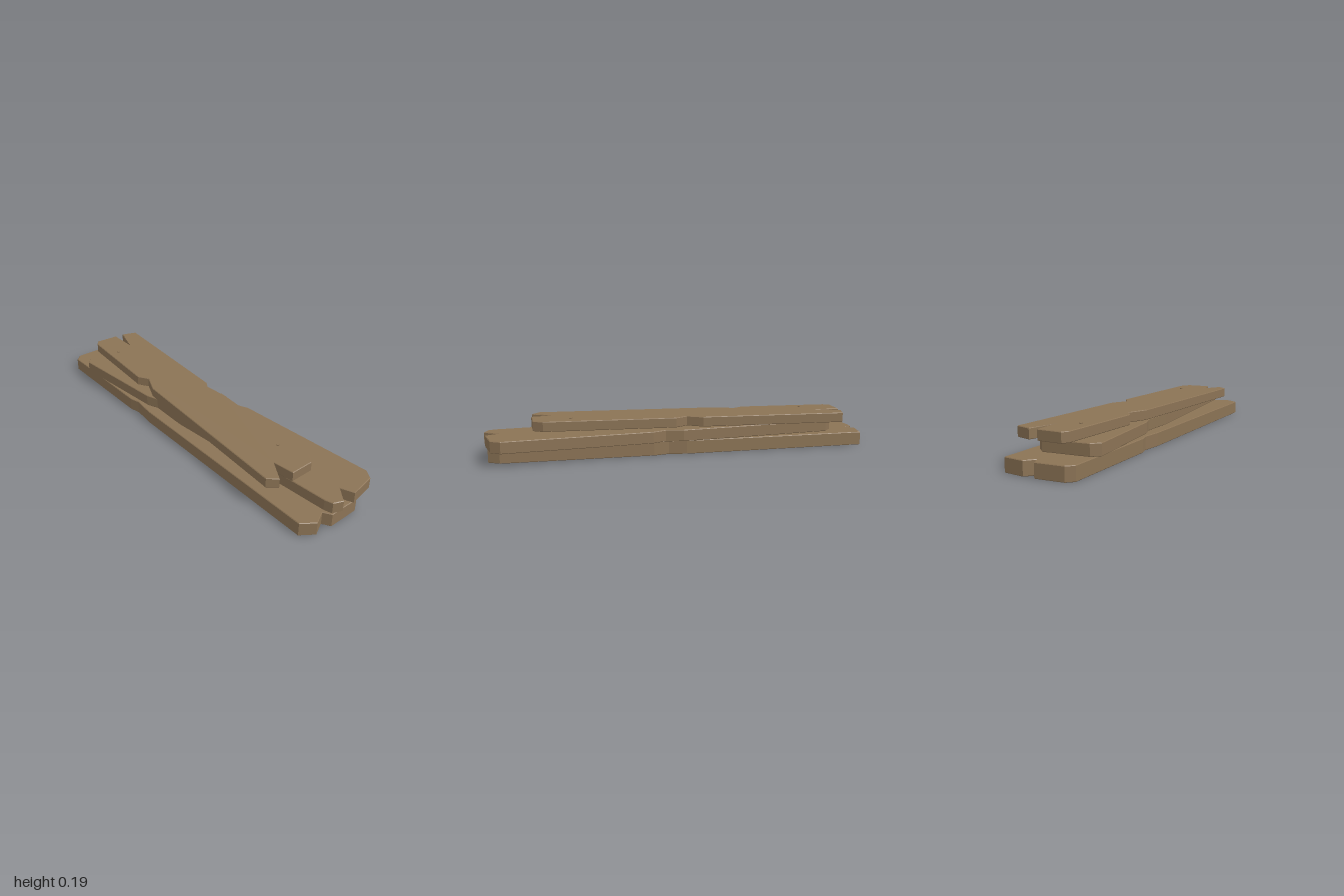
import * as THREE from 'three';

const BEVEL = 0.003;

// Outlines as [x, z] corners, running from the back left corner along the back edge
const bottomOutline = [
  [-0.965, -0.193], [0.0, -0.161], [0.09, -0.142], [0.17, -0.156], [0.93, -0.126], [0.985, -0.09],
  [0.985, 0.072], [0.945, 0.095], [0.978, 0.163], [0.93, 0.228],
  [-0.21, 0.182], [-0.325, 0.165], [-0.38, 0.177], [-0.97, 0.155], [-1, 0.12],
  [-0.997, -0.025], [-0.948, -0.045], [-0.99, -0.085],
];
const middleOutline = [
  [-0.79, -0.13], [0.02, -0.178], [0.11, -0.158], [0.18, -0.187], [0.925, -0.227], [0.972, -0.195],
  [0.995, -0.058], [0.93, -0.032], [1, 0.024], [0.98, 0.072], [0.94, 0.083],
  [0.0, 0.135], [-0.2, 0.125], [-0.265, 0.147], [-0.795, 0.18], [-0.828, 0.14],
  [-0.828, -0.095],
];
const topOutline = [
  [-0.85, -0.203], [-0.095, -0.133], [-0.02, -0.085], [0.045, -0.12], [0.715, -0.06], [0.763, -0.025],
  [0.763, 0.098], [0.655, 0.11], [0.755, 0.175], [0.715, 0.222],
  [-0.235, 0.13], [-0.335, 0.083], [-0.39, 0.115], [-0.865, 0.067], [-0.897, 0.045],
  [-0.885, -0.08], [-0.73, -0.075], [-0.88, -0.125],
];

export function createModel() {
  const group = new THREE.Group();
  const wood = new THREE.MeshStandardMaterial({ color: 0x8b7355 });
  wood.name = 'weathered wood';

  // A plank: notched outline extruded upward with a fine bevel
  function plank(name, outline, bottom, top) {
    const shape = new THREE.Shape(outline.map(([x, z]) => new THREE.Vector2(x, -z)));
    const geometry = new THREE.ExtrudeGeometry(shape, {
      depth: top - bottom - 2 * BEVEL,
      bevelSize: BEVEL, bevelThickness: BEVEL, bevelOffset: -BEVEL, bevelSegments: 1,
    });
    geometry.rotateX(-Math.PI / 2);
    const mesh = new THREE.Mesh(geometry, wood);
    mesh.name = name;
    mesh.position.y = bottom + BEVEL;
    group.add(mesh);
  }

  plank('bottomPlank', bottomOutline, 0, 0.07);
  plank('middlePlank', middleOutline, 0.071, 0.13);
  plank('topPlank', topOutline, 0.132, 0.183);

  // Nail heads on the top plank
  for (const [name, x, z] of [['rightNail', -0.7, 0.027], ['leftNail', 0.57, -0.005]]) {
    const nail = new THREE.Mesh(new THREE.CylinderGeometry(0.008, 0.008, 0.014, 8), wood);
    nail.name = name;
    nail.position.set(x, 0.181, z);
    group.add(nail);
  }
  return group;
}
